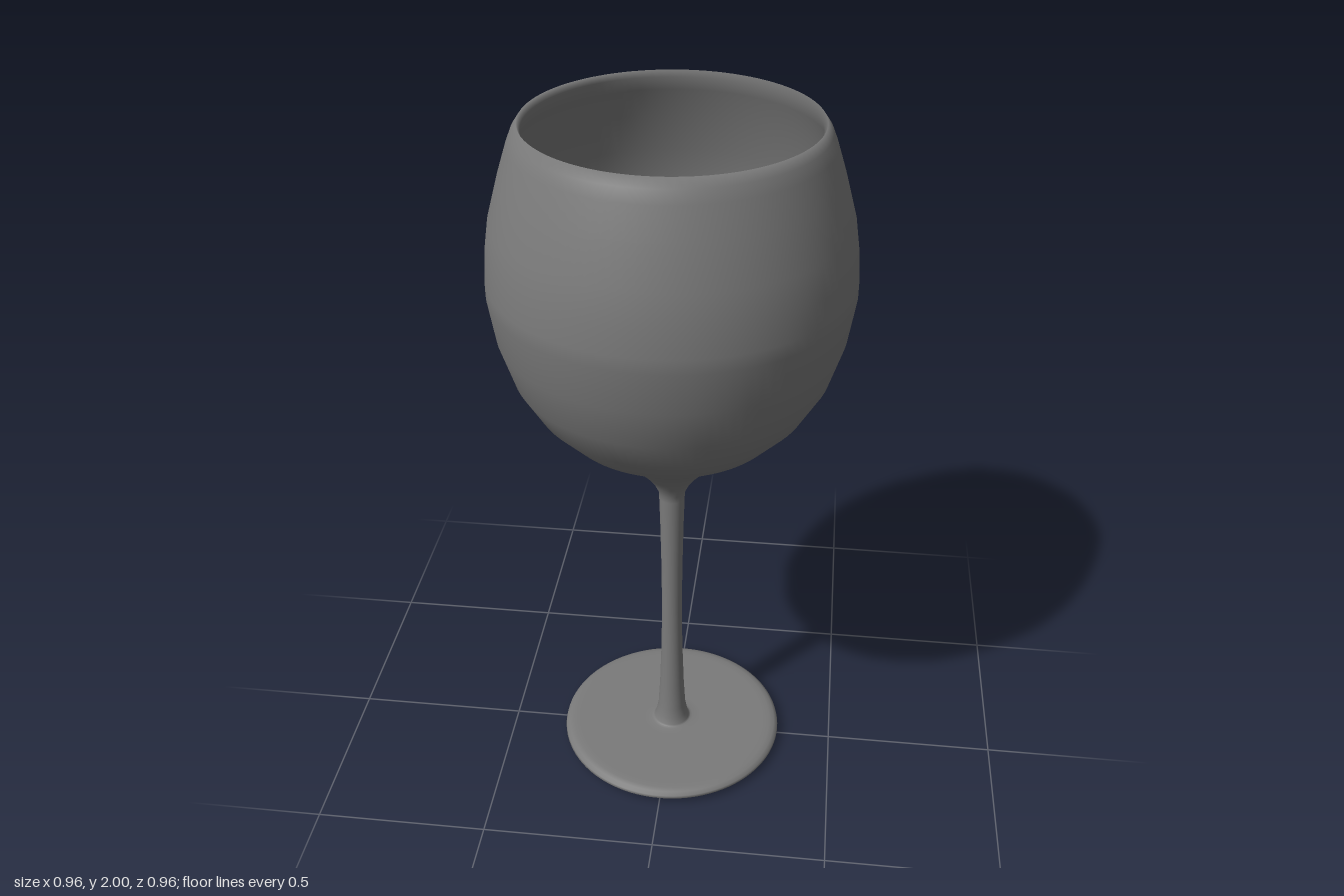
import * as THREE from 'three';

const SEGMENTS = 96;
const GLASS = 0x7a7a7a;
const WINE = 0x6c3939;

// Revolves a profile of [radius, height] pairs around the y axis
function turned(name, color, profile) {
  const points = profile.map(([r, y]) => new THREE.Vector2(r, y));
  const mesh = new THREE.Mesh(
    new THREE.LatheGeometry(points, SEGMENTS),
    new THREE.MeshStandardMaterial({ color, side: THREE.DoubleSide })
  );
  mesh.name = name;
  return mesh;
}

export function createModel() {
  const glass = new THREE.Group();
  glass.name = 'wineGlass';

  // Disc foot: almost flat underside, rounded edge, flat top
  glass.add(turned('footUnderside', GLASS, [[0, 0], [0.06, 0.004], [0.315, 0.008]]));
  glass.add(turned('foot', GLASS, [
    [0.315, 0.008], [0.33, 0.013], [0.337, 0.02], [0.335, 0.028],
    [0.325, 0.036], [0.31, 0.039], [0.29, 0.04], [0.09, 0.04], [0.065, 0.041], [0.058, 0.044],
  ]));

  // Slender stem, flared into the foot and the bowl
  glass.add(turned('stem', GLASS, [
    [0.058, 0.044], [0.053, 0.047], [0.048, 0.068], [0.042, 0.1], [0.037, 0.19], [0.032, 0.34],
    [0.03, 0.48], [0.031, 0.64], [0.034, 0.8], [0.036, 0.87], [0.0365, 0.89],
  ]));

  // Bowl wall: up the outside, over the soft rim, down the inside
  glass.add(turned('bowl', GLASS, [
    [0.0365, 0.89], [0.037, 0.91], [0.052, 0.943], [0.075, 0.975], [0.12, 1.025], [0.2, 1.085],
    [0.296, 1.153], [0.37, 1.232], [0.424, 1.325], [0.461, 1.443], [0.479, 1.56], [0.479, 1.6],
    [0.474, 1.67], [0.461, 1.755], [0.43, 1.865], [0.404, 1.945], [0.391, 1.977],
    [0.375, 2], [0.367, 1.983], [0.382, 1.945], [0.413, 1.865], [0.443, 1.755],
    [0.457, 1.67], [0.462, 1.58], [0.444, 1.445], [0.408, 1.335], [0.356, 1.245],
    [0.285, 1.167], [0.19, 1.1], [0.11, 1.045], [0.05, 1.015], [0, 1.005],
  ]));

  // Wine filling the lower bowl, with a flat surface
  glass.add(turned('wineBody', WINE, [
    [0, 1.01], [0.05, 1.02], [0.108, 1.05], [0.187, 1.105], [0.281, 1.17],
    [0.352, 1.248], [0.404, 1.338], [0.442, 1.45],
  ]));
  glass.add(turned('wineSurface', WINE, [[0.442, 1.45], [0, 1.45]]));

  return glass;
}
